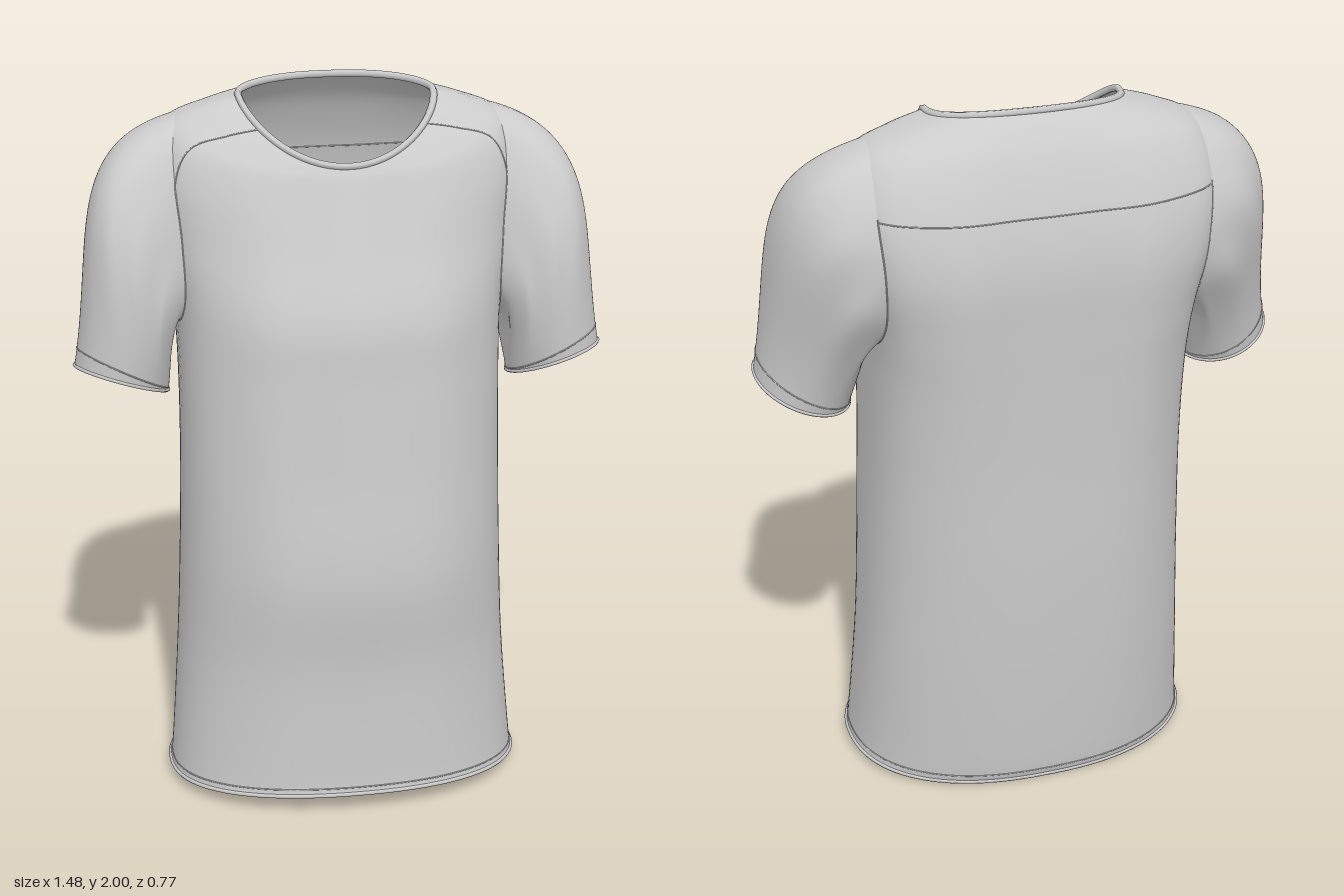
import * as THREE from 'three';

const cloth = new THREE.MeshStandardMaterial({ color: 0xcccccc, side: THREE.DoubleSide });

// Torso rings from hem to neckline:
// half width, mid z, front z, back z, side y, front y, back y, front roundness, back roundness
const RINGS = [
  [0.503, 0.03, 0.372, -0.312, 0.03, 0.06, 0.005, 0.9, 0.85],
  [0.495, 0.03, 0.367, -0.325, 0.09, 0.115, 0.07, 0.9, 0.85],
  [0.47, 0.0, 0.365, -0.35, 0.4, 0.42, 0.4, 0.88, 0.8],
  [0.455, 0.0, 0.385, -0.365, 0.7, 0.7, 0.7, 0.9, 0.75],
  [0.446, 0.0, 0.352, -0.372, 1.0, 1.0, 1.0, 0.88, 0.7],
  [0.445, -0.02, 0.325, -0.38, 1.25, 1.25, 1.25, 0.86, 0.65],
  [0.453, -0.05, 0.305, -0.385, 1.42, 1.42, 1.42, 0.85, 0.58],
  [0.485, -0.08, 0.235, -0.385, 1.6, 1.6, 1.6, 0.85, 0.53],
  [0.5, -0.09, 0.188, -0.355, 1.77, 1.72, 1.75, 0.86, 0.56],
  [0.465, -0.09, 0.165, -0.3, 1.893, 1.78, 1.88, 0.9, 0.66],
  [0.365, -0.075, 0.155, -0.25, 1.943, 1.8, 1.95, 0.95, 0.78],
  [0.265, -0.06, 0.145, -0.21, 1.97, 1.815, 1.988, 1, 0.86],
];
const TOP = RINGS.length - 1;

// Smooth interpolation between the torso rings
function ringAt(v) {
  const i = Math.min(Math.floor(v), TOP - 1), t = v - i;
  const [a, b, c, d] = [i - 1, i, i + 1, i + 2].map((k) => RINGS[THREE.MathUtils.clamp(k, 0, TOP)]);
  return b.map((p, k) => p + 0.5 * t * (c[k] - a[k] + t * (2 * a[k] - 5 * p + 4 * c[k] - d[k]
    + t * (3 * (p - c[k]) + d[k] - a[k]))));
}

// Point on the torso: u is the angle from +x towards the front, v the ring number
function torso(u, v) {
  const [w, zm, zf, zb, ys, yf, yb, ef, eb] = ringAt(v);
  const c = Math.cos(u), s = Math.sin(u), front = s >= 0, e = front ? ef : eb;
  const x = w * Math.sign(c) * Math.abs(c) ** e;
  let z = zm + ((front ? zf : zb) - zm) * Math.abs(s) ** e;
  const y = ys + ((front ? yf : yb) - ys) * Math.abs(s) ** 1.45;
  // hollow along the spine and soft vertical folds
  const middle = Math.sin(Math.PI * v / TOP) ** 2;
  if (!front) z += 0.013 * middle * Math.exp(-((x / 0.15) ** 2));
  z += 0.004 * middle * s * Math.cos(x * 26);
  return new THREE.Vector3(x, y, z);
}

// Armhole: an oval drawn on the torso surface, wider towards the back
const HOLE = { front: 0.5, back: 0.6, v: 7.5, rv: 1.85 };
const armhole = (f) => {
  const c = Math.cos(f);
  return torso((c > 0 ? HOLE.front : HOLE.back) * c, HOLE.v + HOLE.rv * Math.sin(f));
};
const inArmhole = (u, v) => {
  const s = Math.sin(u), width = s > 0 ? HOLE.front : HOLE.back;
  return (Math.asin(s) / width) ** 2 + ((v - HOLE.v) / HOLE.rv) ** 2 < 0.82;
};

// Point on the left sleeve: f runs round the arm, t from armhole to cuff
function sleeve(f, t) {
  const c = Math.cos(f), s = Math.sin(f), k = (1 + s) / 2;
  const a = armhole(f);
  const b = new THREE.Vector3(0.607 + 0.127 * s, 1.212 + 0.03 * c + 0.042 * s, 0.143 * c);
  const ta = new THREE.Vector3(0.1 + 0.82 * k, -0.1 - 0.15 * k, c > 0 ? 0.25 * c : 0);
  const tb = new THREE.Vector3(0.03 + 0.17 * k, -0.15 - 0.95 * k, (c > 0 ? -0.05 : -0.15) * c);
  const t2 = t * t, t3 = t2 * t;
  const p = a.multiplyScalar(2 * t3 - 3 * t2 + 1).addScaledVector(ta, t3 - 2 * t2 + t)
    .addScaledVector(b, 3 * t2 - 2 * t3).addScaledVector(tb, t3 - t2);
  // gathers radiating from the armpit
  const fold = 0.04 * t * (1 - t) ** 2 * (1 - k) * Math.sin(f * 9 + t * 5);
  p.x += fold;
  p.z += fold * c;
  return p;
}

// Closed-round grid surface; cells for which skip() holds are left open
function surface(point, nu, nv, vMax, skip = () => false) {
  const pos = [], index = [];
  for (let j = 0; j <= nv; j++)
    for (let i = 0; i < nu; i++) pos.push(...point(i / nu * Math.PI * 2, j / nv * vMax).toArray());
  for (let j = 0; j < nv; j++)
    for (let i = 0; i < nu; i++) {
      if (skip((i + 0.5) / nu * Math.PI * 2, (j + 0.5) / nv * vMax)) continue;
      const a = j * nu + i, b = j * nu + (i + 1) % nu;
      index.push(a, a + nu, b, b, a + nu, b + nu);
    }
  const g = new THREE.BufferGeometry();
  g.setAttribute('position', new THREE.Float32BufferAttribute(pos, 3));
  g.setIndex(index);
  g.computeVertexNormals();
  return g;
}

// Thin cord following a rule, for rolled edges and seams
function cord(point, radius, closed = true, n = 64) {
  const pts = Array.from({ length: closed ? n : n + 1 }, (_, i) => point(i / n));
  return new THREE.TubeGeometry(new THREE.CatmullRomCurve3(pts, closed), n * 2, radius, 6, closed);
}

export function createModel() {
  const model = new THREE.Group();
  model.name = 'shirt';
  const add = (name, geometry, parent = model) => {
    const mesh = new THREE.Mesh(geometry, cloth);
    mesh.name = name;
    parent.add(mesh);
  };
  const round = Math.PI * 2;

  // Torso with its edges
  add('torso', surface(torso, 128, 88, TOP, inArmhole));
  add('neckBand', cord((t) => torso(t * round, TOP), 0.01));
  add('hemEdge', cord((t) => torso(t * round, 0), 0.006));
  add('hemSeam', cord((t) => torso(t * round, 0.7), 0.002));
  add('backYokeSeam', cord((t) => torso(-0.58 - t * (Math.PI - 1.16), 8), 0.002, false));

  // Sleeves with cuffs and shoulder seams, mirrored
  for (const side of [1, -1]) {
    const arm = new THREE.Group();
    arm.name = side > 0 ? 'leftSleeve' : 'rightSleeve';
    arm.scale.x = side;
    add('sleeve', surface(sleeve, 96, 40, 1), arm);
    add('cuffEdge', cord((t) => sleeve(t * round, 1), 0.005), arm);
    add('cuffSeam', cord((t) => sleeve(t * round, 0.955), 0.002), arm);
    add('armholeSeam', cord((t) => armhole(0.3 - t * (Math.PI + 0.6)), 0.002, false), arm);
    add('frontYokeSeam', cord((t) => torso(0.6 - 0.12 * t, TOP - 2.95 * t), 0.002, false, 24), arm);
    model.add(arm);
  }
  return model;
}
